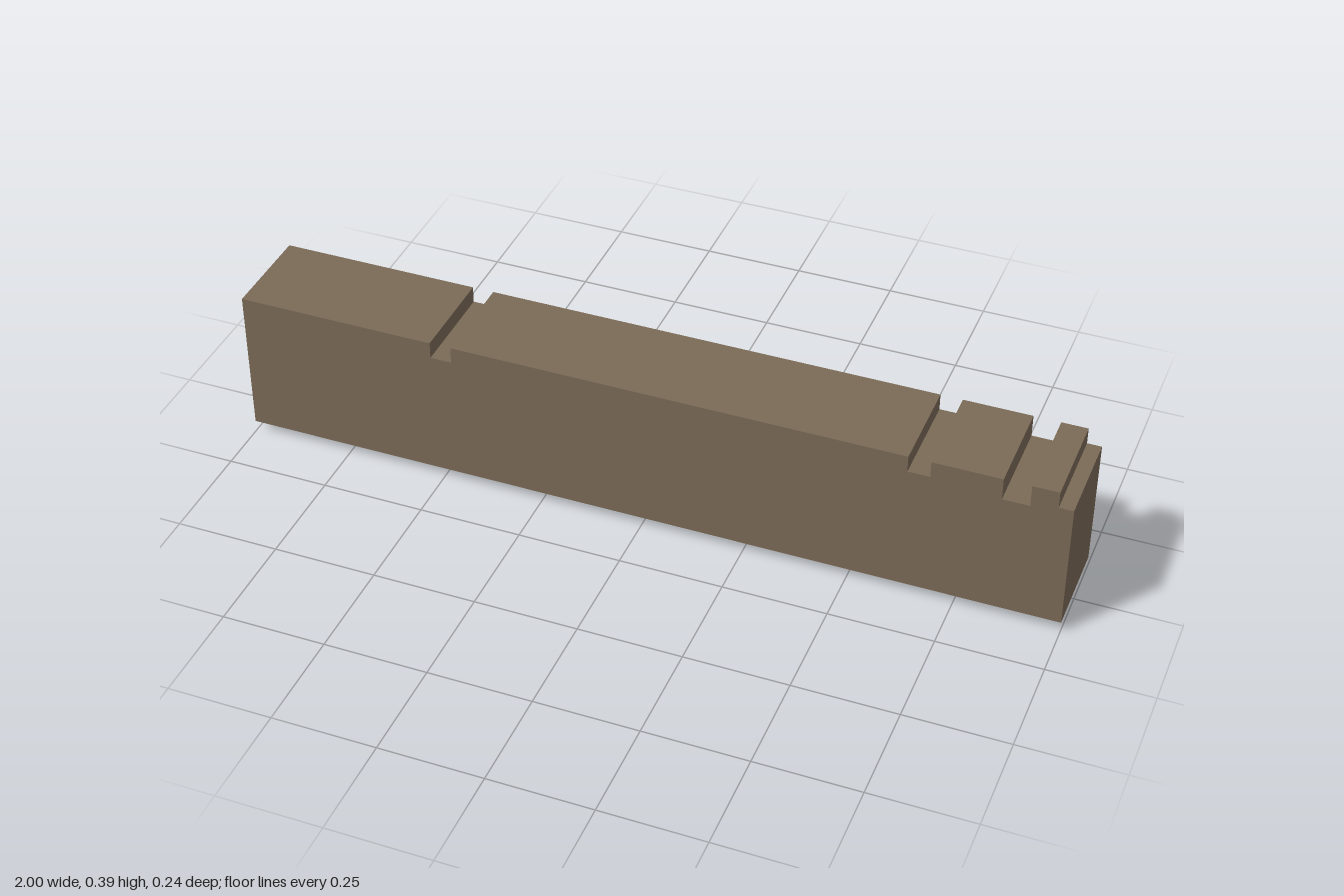
import * as THREE from 'three';

const brown = new THREE.MeshStandardMaterial({ color: 0x7b6a57 });
brown.name = 'brown';
const grey = new THREE.MeshStandardMaterial({ color: 0xa19a90 });
grey.name = 'grey back';

const BACK = -0.12, FRONT = 0.12, BOTTOM = 0.028, TOP = 0.388;

// Long block with square notches cut across its top edge
function makeBody() {
  const notches = [[-0.517, -0.465, 0.347], [0.627, 0.679, 0.347], [0.841, 0.904, 0.333]];
  const shape = new THREE.Shape();
  shape.moveTo(-1, BOTTOM);
  shape.lineTo(1, BOTTOM);
  // stepped right end
  shape.lineTo(1, 0.347);
  shape.lineTo(0.966, 0.347);
  shape.lineTo(0.966, TOP);
  for (const [x0, x1, y] of notches.reverse()) {
    shape.lineTo(x1, TOP);
    shape.lineTo(x1, y);
    shape.lineTo(x0, y);
    shape.lineTo(x0, TOP);
  }
  shape.lineTo(-1, TOP);
  shape.closePath();

  const geo = new THREE.ExtrudeGeometry(shape, { depth: FRONT - BACK, bevelEnabled: false });
  geo.translate(0, 0, BACK);
  // the first half of the cap group is the back face
  const [caps, sides] = geo.groups;
  geo.clearGroups();
  geo.addGroup(caps.start, caps.count / 2, 1);
  geo.addGroup(caps.start + caps.count / 2, caps.count / 2, 0);
  geo.addGroup(sides.start, sides.count, 0);
  const mesh = new THREE.Mesh(geo, [brown, grey]);
  mesh.name = 'notchedBody';
  return mesh;
}

// Tab below the body, set back from the front
function makeTab(name, x0, x1, y) {
  const front = 0.073;
  const geo = new THREE.BoxGeometry(x1 - x0, BOTTOM - y, front - BACK);
  const mesh = new THREE.Mesh(geo, [brown, brown, brown, brown, brown, grey]);
  mesh.position.set((x0 + x1) / 2, (BOTTOM + y) / 2, (front + BACK) / 2);
  mesh.name = name;
  return mesh;
}

export function createModel() {
  const group = new THREE.Group();
  group.name = 'notchedBeam';
  group.add(makeBody());
  const tabs = [[-0.439, -0.343], [-0.319, -0.225], [0.131, 0.227], [0.251, 0.347]];
  tabs.forEach(([x0, x1], i) => group.add(makeTab(`smallTab${i + 1}`, x0, x1, 0.013)));
  group.add(makeTab('deepTab', 0.806, 0.917, 0));
  return group;
}
